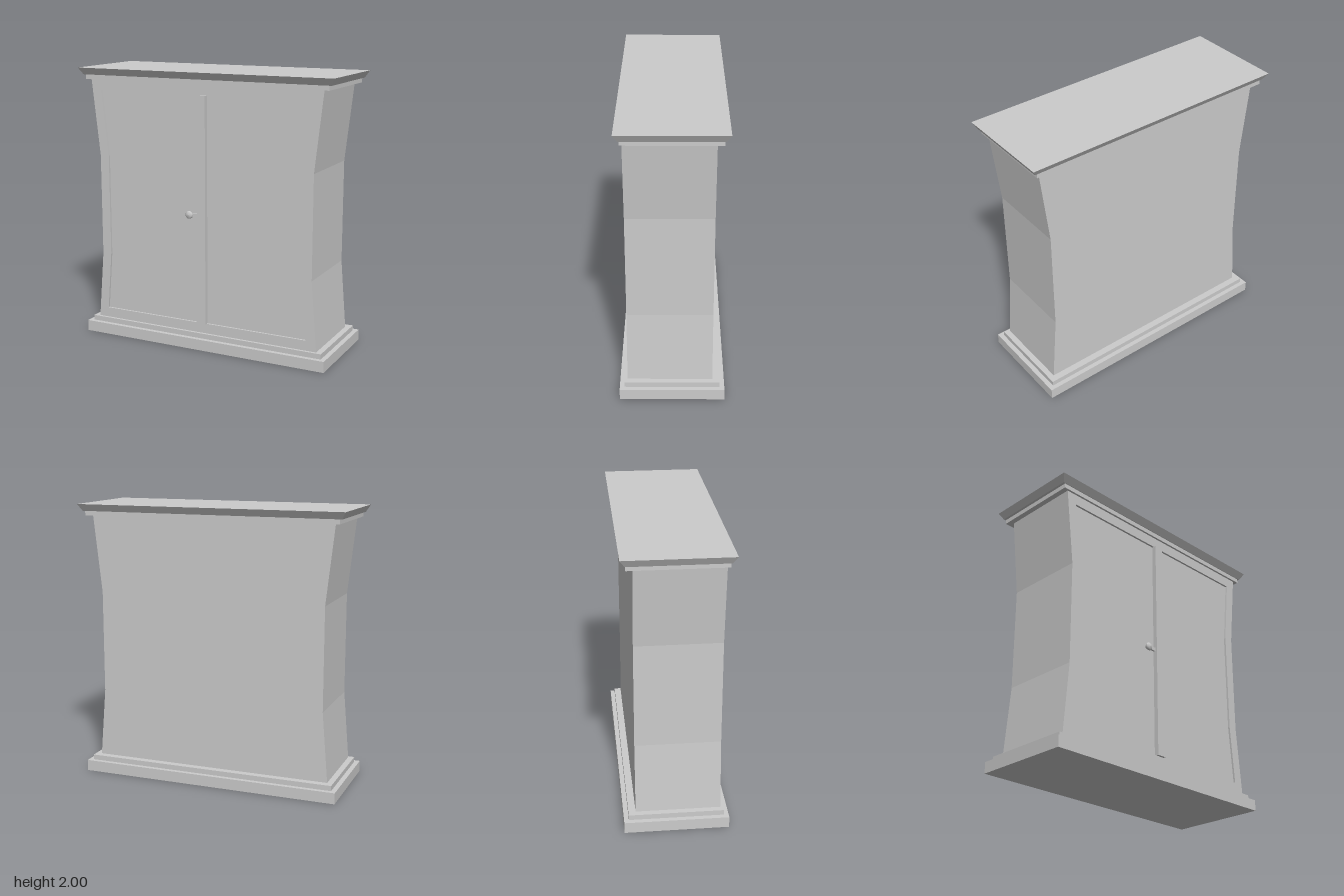
import * as THREE from 'three';

const grey = new THREE.MeshStandardMaterial({ color: 0xcccccc });
const pale = new THREE.MeshStandardMaterial({ color: 0xeeeeee });

// Waisted outline, mirrored in x, from [halfWidth, y] points listed bottom to top
function waisted(points, Type = THREE.Shape) {
  const left = points.map(([x, y]) => [-x, y]).reverse();
  return new Type([...points, ...left].map(([x, y]) => new THREE.Vector2(x, y)));
}

const OUTER = [[0.883, 0.115], [0.84, 0.62], [0.84, 1.36], [0.902, 1.92]];
const OPENING = [[0.805, 0.19], [0.77, 0.62], [0.77, 1.36], [0.82, 1.84]];

export function createModel() {
  const group = new THREE.Group();

  function add(name, geometry, material = grey, x = 0, y = 0, z = 0) {
    const mesh = new THREE.Mesh(geometry, material);
    mesh.name = name;
    mesh.position.set(x, y, z);
    group.add(mesh);
    return mesh;
  }
  function slab(name, shape, z0, z1, material) {
    const geometry = new THREE.ExtrudeGeometry(shape, { depth: z1 - z0, bevelEnabled: false });
    return add(name, geometry, material, 0, 0, z0);
  }
  function block(name, halfX, halfZ, y0, y1) {
    return add(name, new THREE.BoxGeometry(2 * halfX, y1 - y0, 2 * halfZ), grey, 0, (y0 + y1) / 2, 0);
  }

  // Stepped plinth and the step below the crown
  block('plinth', 0.96, 0.363, 0, 0.08);
  block('plinthStep', 0.925, 0.33, 0.08, 0.117);
  block('corniceStep', 0.94, 0.325, 1.917, 1.95);

  // Crown: a block whose lower edge is drawn in
  const crown = new THREE.BoxGeometry(1.97, 0.05, 0.724).toNonIndexed();
  const p = crown.attributes.position;
  for (let i = 0; i < p.count; i++) {
    if (p.getY(i) < 0) {
      p.setX(i, Math.sign(p.getX(i)) * 0.957);
      p.setZ(i, Math.sign(p.getZ(i)) * 0.33);
    }
  }
  crown.computeVertexNormals();
  add('crown', crown, grey, 0, 1.975, 0);

  // Waisted carcass with a raised frame round the door opening
  slab('carcass', waisted(OUTER), -0.28, 0.29);
  const frame = waisted(OUTER);
  frame.holes.push(waisted(OPENING, THREE.Path));
  slab('doorFrame', frame, 0.29, 0.31);

  // Pair of doors, set back inside the frame
  for (const side of [-1, 1]) {
    const outline = [[0.035, 0.19], ...OPENING, [0.035, 1.84]];
    const points = outline.map(([x, y]) => new THREE.Vector2(side * x, y));
    slab(side > 0 ? 'leftDoor' : 'rightDoor', new THREE.Shape(points), 0.285, 0.295, pale);
  }

  // Centre strip covering the joint
  add('centreStrip', new THREE.BoxGeometry(0.07, 1.65, 0.045), grey, 0, 1.015, 0.3055);

  // Turned knob, facing forward, and its latch bar
  const profile = [[0, 0], [0.018, 0], [0.018, 0.01], [0.028, 0.016], [0.028, 0.023], [0.02, 0.031], [0, 0.034]];
  const knob = new THREE.LatheGeometry(profile.map(([r, h]) => new THREE.Vector2(r, h)), 20);
  add('knob', knob, grey, -0.1, 0.987, 0.294).rotation.x = Math.PI / 2;
  add('latchBar', new THREE.BoxGeometry(0.065, 0.026, 0.014), grey, -0.065, 0.987, 0.305);

  return group;
}
